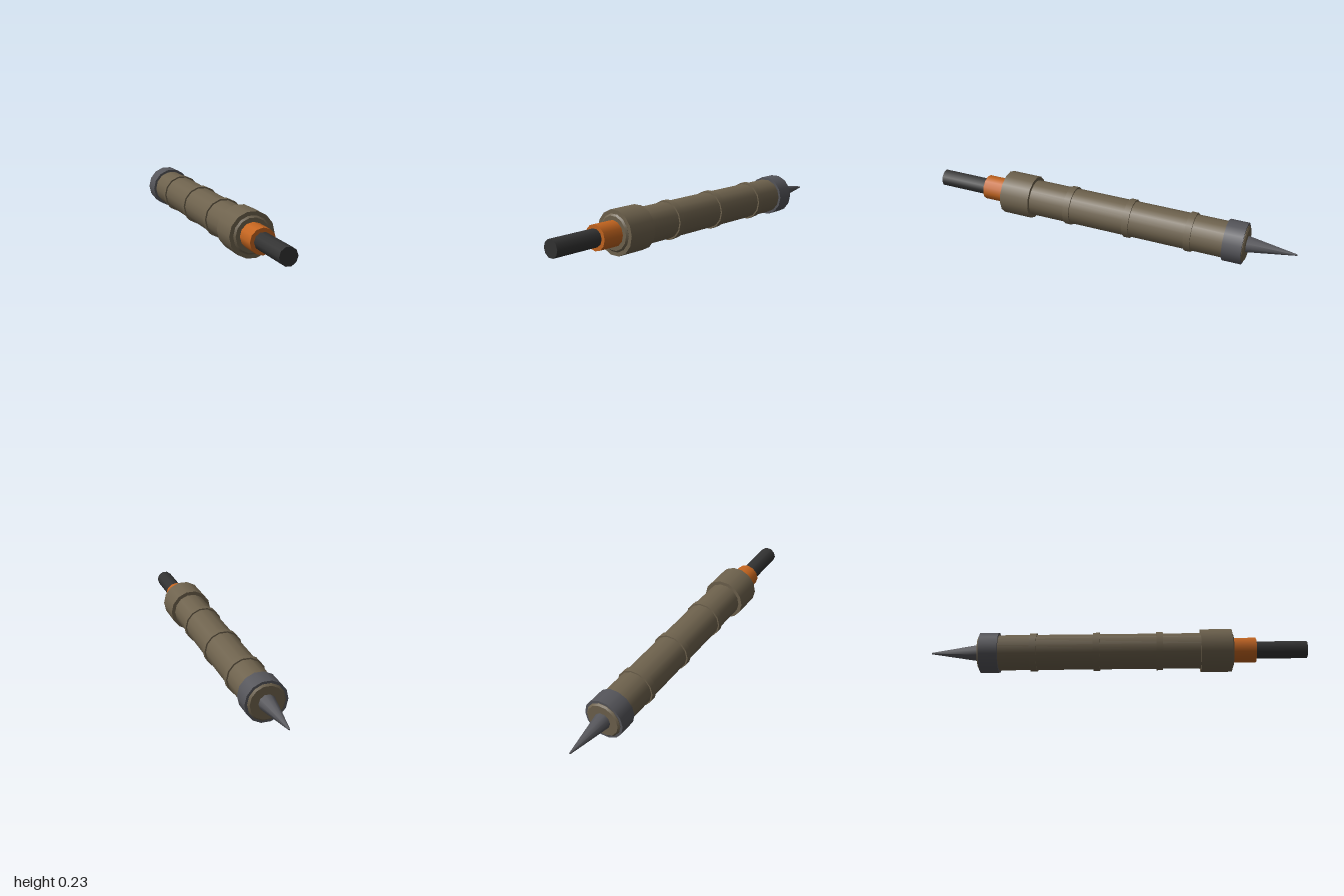
import * as THREE from 'three';

const AXIS_Y = 0.117;

export function createModel() {
  const model = new THREE.Group();
  model.name = 'tool';

  const mat = (name, color) => {
    const m = new THREE.MeshStandardMaterial({ color });
    m.name = name;
    return m;
  };
  const brown = mat('olive brown', 0x6e624d);
  const steel = mat('dark steel', 0x55555a);
  const orange = mat('orange', 0xc4651f);
  const black = mat('charcoal', 0x333333);

  // Round section along z, from zBack (radius rBack) to zFront (radius rFront)
  function section(name, material, zBack, zFront, rBack, rFront, sides) {
    const g = new THREE.CylinderGeometry(rFront, rBack, zFront - zBack, sides, 1, false, Math.PI / 2);
    g.rotateX(Math.PI / 2);
    const mesh = new THREE.Mesh(g, material);
    mesh.name = name;
    mesh.position.set(0, AXIS_Y, (zBack + zFront) / 2);
    model.add(mesh);
  }

  // Barrel with chamfered ends
  section('barrel', brown, -0.737, 0.602, 0.096, 0.096, 14);
  section('frontChamfer', brown, 0.602, 0.61, 0.096, 0.087, 14);
  section('backChamfer', brown, -0.745, -0.737, 0.087, 0.096, 14);

  // Raised grip rings
  for (const z of [0.22, -0.115, -0.45]) {
    section('gripRing', brown, z - 0.0175, z + 0.0175, 0.104, 0.104, 14);
  }

  // Collars at both ends
  section('frontCollar', brown, 0.437, 0.601, 0.116, 0.116, 14);
  section('backCollar', steel, -0.735, -0.635, 0.109, 0.109, 14);

  // Cable sleeve and cable
  section('sleeve', orange, 0.6, 0.73, 0.066, 0.066, 12);
  section('cable', black, 0.7, 1, 0.046, 0.046, 10);

  // Pointed tip
  section('tip', steel, -1, -0.74, 0.004, 0.045, 10);

  return model;
}
